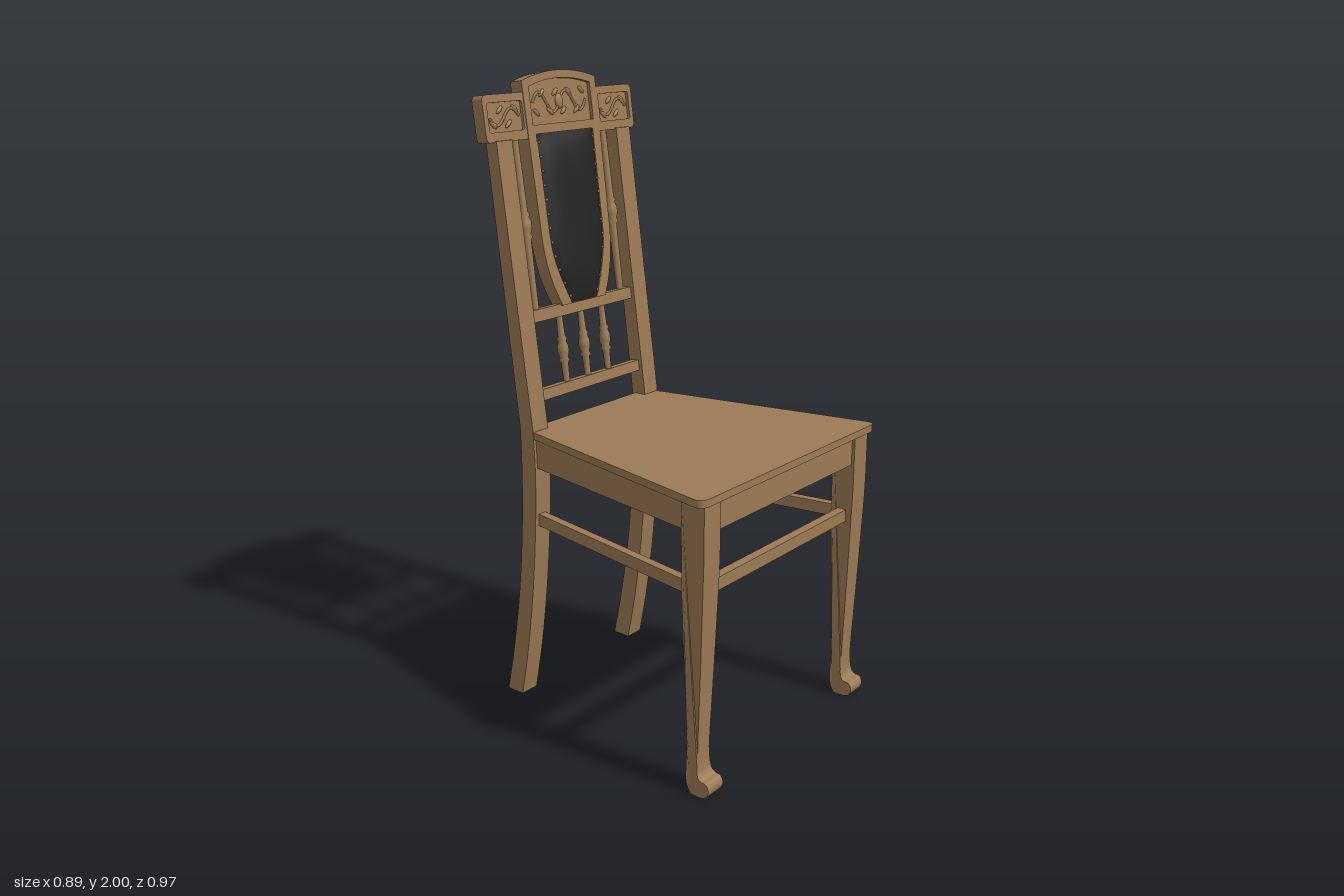
import * as THREE from 'three';
import { toCreasedNormals } from 'three/addons/utils/BufferGeometryUtils.js';

const V2 = (x, y) => new THREE.Vector2(x, y);
const LEAN = Math.atan(0.132);
const L = (y) => (y - 0.93) / Math.cos(LEAN); // height along the leaning back

// straight shape from points
const poly = (pts) => new THREE.Shape(pts.map(([x, y]) => V2(x, y)));

// rectangle with rounded corners
function roundRect(x0, y0, x1, y1, r, Kind = THREE.Shape) {
  const s = new Kind();
  s.moveTo(x0 + r, y0).lineTo(x1 - r, y0).quadraticCurveTo(x1, y0, x1, y0 + r)
    .lineTo(x1, y1 - r).quadraticCurveTo(x1, y1, x1 - r, y1)
    .lineTo(x0 + r, y1).quadraticCurveTo(x0, y1, x0, y1 - r)
    .lineTo(x0, y0 + r).quadraticCurveTo(x0, y0, x0 + r, y0);
  return s;
}

// extrude from z0 to z1
function slab(shape, z0, z1) {
  const g = new THREE.ExtrudeGeometry(shape, { depth: z1 - z0, bevelEnabled: false, curveSegments: 8 });
  return toCreasedNormals(g.translate(0, 0, z0), 0.5);
}

export function createModel() {
  const chair = new THREE.Group();
  chair.name = 'chair';
  const wood = new THREE.MeshStandardMaterial({ color: 0x9c7a55 });
  wood.name = 'wood';
  const leather = new THREE.MeshStandardMaterial({ color: 0x232323 });
  leather.name = 'black leather';

  const add = (parent, name, geo, mat = wood) => {
    const m = new THREE.Mesh(geo, mat);
    m.name = name;
    parent.add(m);
    return m;
  };
  // horizontal rail between two floor points
  const rail = (name, [x0, z0], [x1, z1], yLow, yHigh, thick) => {
    const m = add(chair, name, new THREE.BoxGeometry(Math.hypot(x1 - x0, z1 - z0), yHigh - yLow, thick));
    m.position.set((x0 + x1) / 2, (yLow + yHigh) / 2, (z0 + z1) / 2);
    m.rotation.y = Math.atan2(z0 - z1, x1 - x0);
  };

  // seat board, narrower at the back, with a tongue between the posts
  const seat = new THREE.Shape();
  seat.moveTo(-0.415, -0.478).lineTo(0.415, -0.478).quadraticCurveTo(0.455, -0.478, 0.446, -0.44)
    .lineTo(0.3, 0.297).lineTo(0.235, 0.297).lineTo(0.235, 0.335).lineTo(-0.235, 0.335)
    .lineTo(-0.235, 0.297).lineTo(-0.3, 0.297).lineTo(-0.446, -0.44)
    .quadraticCurveTo(-0.455, -0.478, -0.415, -0.478);
  add(chair, 'seat', slab(seat, 0.905, 0.928).rotateX(-Math.PI / 2));

  // front leg profile (z, y) with a curled foot
  const frontLeg = new THREE.Shape();
  frontLeg.moveTo(0.385, 0.905).lineTo(0.386, 0.65).splineThru([V2(0.393, 0.4), V2(0.4, 0.2), V2(0.402, 0.08), V2(0.405, 0.03), V2(0.42, 0)]);
  frontLeg.lineTo(0.455, 0).splineThru([V2(0.477, 0.008), V2(0.486, 0.03), V2(0.477, 0.05), V2(0.455, 0.055), V2(0.443, 0.075),
    V2(0.441, 0.15), V2(0.452, 0.4), V2(0.462, 0.65), V2(0.465, 0.75)]);
  frontLeg.lineTo(0.465, 0.905);
  const legHalf = (y) => y < 0.06 ? 0.035 : y < 0.12 ? 0.035 - (y - 0.06) * 0.13 : Math.min(0.037, 0.027 + (y - 0.12) * 0.018);
  const legGeo = new THREE.ExtrudeGeometry(frontLeg, { depth: 2, bevelEnabled: false, curveSegments: 4 })
    .translate(0, 0, -1).rotateY(-Math.PI / 2);
  const lp = legGeo.attributes.position;
  for (let i = 0; i < lp.count; i++) lp.setX(i, lp.getX(i) * legHalf(lp.getY(i)));
  const frontLegGeo = toCreasedNormals(legGeo, 0.6);

  // back leg sweeps up into the leaning post
  const post = new THREE.Shape();
  post.moveTo(-0.445, 0).lineTo(-0.38, 0);
  post.splineThru([V2(-0.345, 0.18), V2(-0.315, 0.4), V2(-0.296, 0.62), V2(-0.29, 0.8), V2(-0.296, 0.94)]);
  post.lineTo(-0.411, 1.81).lineTo(-0.456, 1.81).lineTo(-0.351, 0.94);
  post.splineThru([V2(-0.349, 0.8), V2(-0.355, 0.62), V2(-0.374, 0.4), V2(-0.408, 0.18), V2(-0.445, 0)]);
  const postGeo = toCreasedNormals(new THREE.ExtrudeGeometry(post, { depth: 0.066, bevelEnabled: false, curveSegments: 5 })
    .translate(0, 0, -0.033).rotateY(-Math.PI / 2), 0.5);

  for (const s of [-1, 1]) {
    const side = s > 0 ? 'left' : 'right';
    add(chair, side + 'FrontLeg', frontLegGeo).position.x = s * 0.387;
    add(chair, side + 'BackPost', postGeo).position.x = s * 0.27;
    rail(side + 'Apron', [s * 0.395, 0.41], [s * 0.276, -0.31], 0.81, 0.906, 0.028);
    rail(side + 'Stretcher', [s * 0.388, 0.41], [s * 0.272, -0.31], 0.615, 0.655, 0.028);
  }
  rail('frontApron', [-0.37, 0.44], [0.37, 0.44], 0.81, 0.906, 0.03);
  rail('frontStretcher', [-0.37, 0.425], [0.37, 0.425], 0.615, 0.655, 0.03);
  rail('backApron', [-0.25, -0.325], [0.25, -0.325], 0.81, 0.906, 0.03);

  // everything above the seat leans back together
  const back = new THREE.Group();
  back.name = 'backrest';
  back.position.set(0, 0.93, -0.323);
  back.rotation.x = -LEAN;
  chair.add(back);
  for (const [name, y0, y1] of [['lowerBackRail', 1.008, 1.043], ['middleBackRail', 1.252, 1.29]])
    add(back, name, new THREE.BoxGeometry(0.49, L(y1) - L(y0), 0.03)).position.y = (L(y0) + L(y1)) / 2;

  // turned spindles with a ringed bulb at the middle
  const spindle = (name, x, y0, y1, r) => {
    const mid = (L(y0) + L(y1)) / 2;
    const pts = [[r * 0.85, L(y0)], [r, mid - 0.045], [r * 1.5, mid - 0.038], [r * 1.1, mid - 0.028], [r * 1.55, mid - 0.012],
      [r * 1.55, mid + 0.008], [r * 1.1, mid + 0.024], [r * 1.4, mid + 0.032], [r, mid + 0.04], [r * 0.85, L(y1)]];
    add(back, name, new THREE.LatheGeometry(pts.map(([a, b]) => V2(a, b)), 14)).position.x = x;
  };
  for (const x of [-0.1, 0, 0.1]) spindle('shortSpindle', x, 1.04, 1.255, 0.012);
  for (const x of [-0.2, 0.2]) spindle('longSpindle', x, 1.288, 1.81, 0.0135);

  // shield panel: solid back plus a front frame with two openings
  const shield = () => {
    const s = new THREE.Shape();
    s.moveTo(-0.1, L(1.285)).lineTo(0.1, L(1.285));
    s.bezierCurveTo(0.135, L(1.35), 0.158, L(1.42), 0.158, L(1.52)).lineTo(0.163, L(1.82)).lineTo(0.165, L(1.975));
    s.quadraticCurveTo(0, L(2.026), -0.165, L(1.975)).lineTo(-0.163, L(1.82)).lineTo(-0.158, L(1.52));
    s.bezierCurveTo(-0.158, L(1.42), -0.135, L(1.35), -0.1, L(1.285));
    return s;
  };
  const padHalf = (t) => t > 0.42 ? 0.124 + 0.008 * (t - 0.42) : 0.06 + 0.064 * Math.sin((t / 0.42) * Math.PI / 2);
  const PAD0 = L(1.288), PAD1 = L(1.815);
  const steps = Array.from({ length: 13 }, (_, i) => i / 12);
  const padY = (t) => PAD0 + (PAD1 - PAD0) * t;
  const padHole = new THREE.Path([...steps.map((t) => V2(padHalf(t), padY(t))),
    ...steps.slice().reverse().map((t) => V2(-padHalf(t), padY(t)))]);
  const headHole = new THREE.Path();
  headHole.moveTo(-0.137, L(1.842)).lineTo(0.137, L(1.842)).lineTo(0.137, L(1.957))
    .quadraticCurveTo(0, L(1.996), -0.137, L(1.957)).lineTo(-0.137, L(1.842));
  add(back, 'shieldBack', slab(shield(), -0.024, 0.012));
  const frame = shield();
  frame.holes.push(padHole, headHole);
  add(back, 'shieldFrame', slab(frame, 0.012, 0.024));

  // padded leather, domed toward the front
  const pad = new THREE.PlaneGeometry(2, 1, 16, 24);
  const pp = pad.attributes.position;
  for (let i = 0; i < pp.count; i++) {
    const u = pp.getX(i), t = pp.getY(i) + 0.5, v = 2 * t - 1;
    pp.setXYZ(i, u * padHalf(t), padY(t), 0.02 + 0.021 * (1 - u ** 4) * (1 - v ** 6));
  }
  pad.computeVertexNormals();
  add(back, 'leatherPad', pad, leather);

  // upholstery nails along the pad edges
  const nail = new THREE.SphereGeometry(0.0045, 8, 6);
  for (let i = 0; i < 12; i++) for (const s of [-1, 1]) {
    const t = 0.04 + i * 0.083;
    add(back, 'nail', nail).position.set(s * (padHalf(t) - 0.006), padY(t), 0.026);
  }

  // crest wings with recessed panels
  for (const s of [-1, 1]) {
    const x0 = s > 0 ? 0.155 : -0.335, x1 = s > 0 ? 0.335 : -0.155;
    const outline = () => roundRect(x0, L(1.803), x1, L(1.942), 0.018);
    add(back, 'crestWingBack', slab(outline(), -0.021, 0.012));
    const rim = outline();
    rim.holes.push(roundRect(s > 0 ? 0.172 : -0.318, L(1.832), s > 0 ? 0.318 : -0.172, L(1.918), 0.008, THREE.Path));
    add(back, 'crestWingFrame', slab(rim, 0.012, 0.022));
  }

  // carved vine with leaves, low relief
  const leaf = new THREE.SphereGeometry(1, 10, 6);
  const vine = (cx, cy, w, h, waves) => {
    const pts = [];
    for (let i = 0; i <= 16; i++) {
      const t = i / 16 - 0.5;
      pts.push(new THREE.Vector3(cx + t * w, cy + Math.sin(t * waves * Math.PI * 2) * h, 0.013));
    }
    add(back, 'carvedVine', new THREE.TubeGeometry(new THREE.CatmullRomCurve3(pts), 40, 0.0045, 6));
    const n = waves * 4;
    for (let i = 0; i < n; i++) {
      const t = (i + 0.5) / n - 0.5, up = i % 2 ? 1 : -1;
      const m = add(back, 'carvedLeaf', leaf);
      m.position.set(cx + t * w, cy + up * h * 0.9, 0.012);
      m.scale.set(0.017, 0.007, 0.007);
      m.rotation.z = up * 0.7 * (t < 0 ? 1 : -1);
    }
  };
  vine(0, L(1.907), 0.24, 0.032, 2);
  for (const s of [-1, 1]) vine(s * 0.245, L(1.875), 0.125, 0.024, 1);
  const boss = add(back, 'carvedBoss', leaf);
  boss.position.set(0, L(1.907), 0.012);
  boss.scale.set(0.018, 0.024, 0.009);

  return chair;
}
